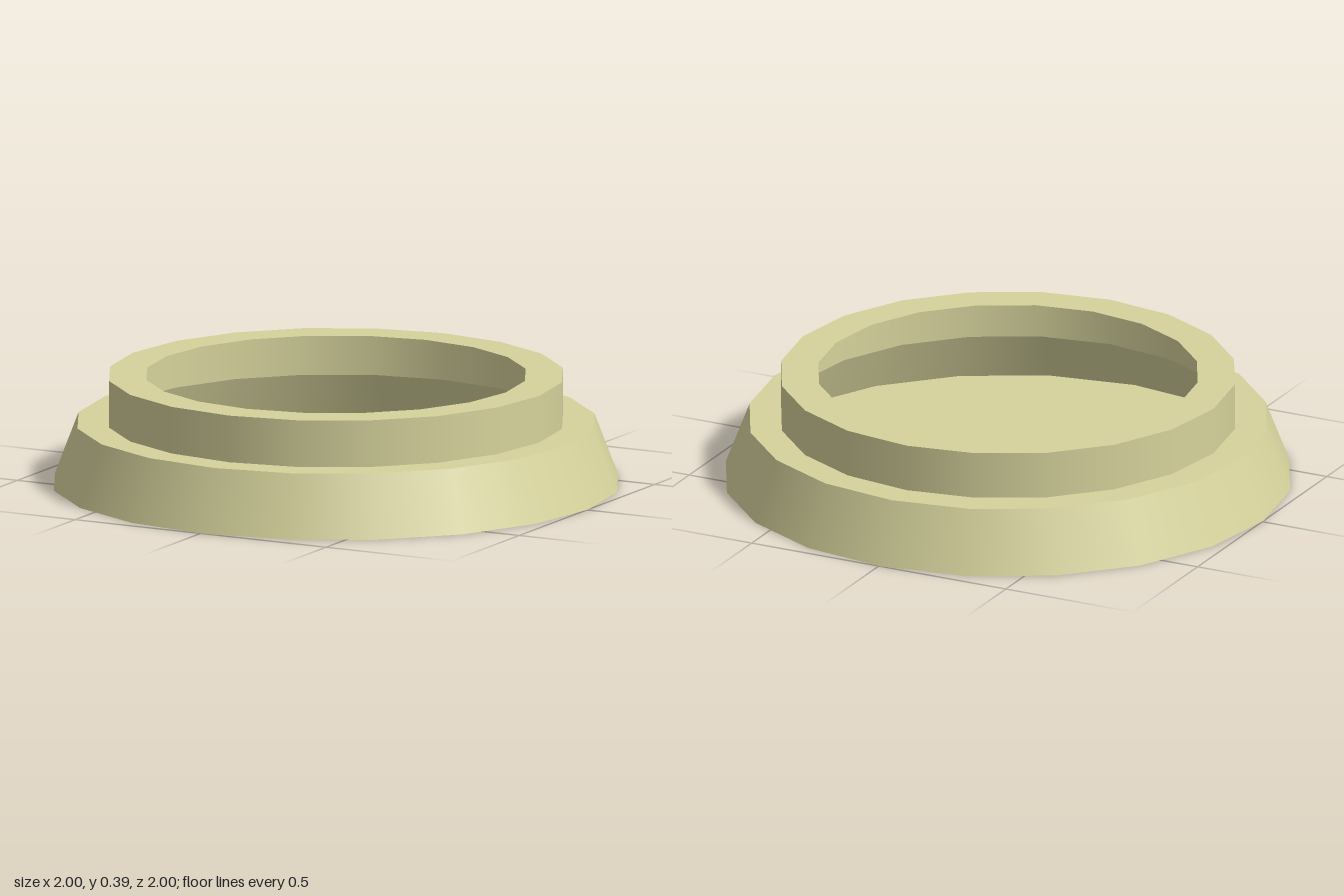
import * as THREE from 'three';

const SIDES = 20;

export function createModel() {
  const model = new THREE.Group();
  model.name = 'steppedRoundBase';
  const material = new THREE.MeshStandardMaterial({ color: 0xd6d39c, side: THREE.DoubleSide });

  // Profile of the thin shell, from the bottom edge up to the open rim
  const profile = [
    [1, 0],
    [0.916, 0.22],
    [0.804, 0.22],
    [0.804, 0.387],
    [0.672, 0.387],
  ].map(([r, y]) => new THREE.Vector2(r, y));

  // One band per profile step: smooth around, sharp between bands
  ['slopedSkirt', 'lowerLedge', 'collarWall', 'topRim'].forEach((name, i) => {
    const band = new THREE.Mesh(
      new THREE.LatheGeometry([profile[i], profile[i + 1]], SIDES), material);
    band.name = name;
    model.add(band);
  });

  // Closed bottom, also seen through the opening
  const floor = new THREE.Mesh(
    new THREE.CircleGeometry(1, SIDES).rotateX(Math.PI / 2), material);
  floor.name = 'floor';
  model.add(floor);

  // Slight turn of the facets
  model.children.forEach((part) => part.geometry.rotateY(0.01));
  return model;
}
